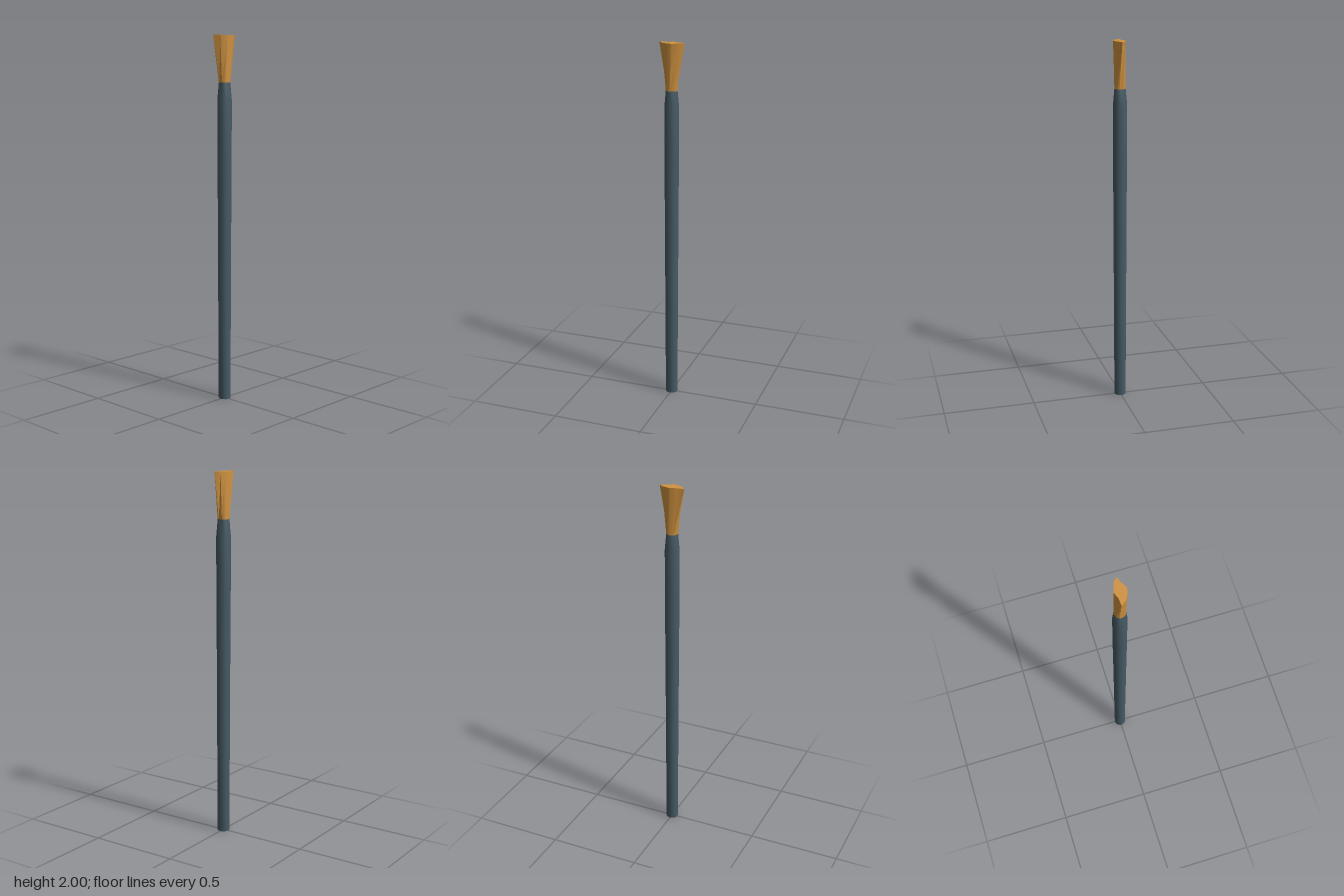
import * as THREE from 'three';
import { toCreasedNormals } from 'three/addons/utils/BufferGeometryUtils.js';

const SIDES = 10;
const HANDLE_TOP = 1.75;

function part(name, geometry, color) {
  const mesh = new THREE.Mesh(
    toCreasedNormals(geometry, 0.7),
    new THREE.MeshStandardMaterial({ color })
  );
  mesh.name = name;
  return mesh;
}

// Long ten-sided handle, slightly thicker towards the top, with a tapered collar
function handleGeometry() {
  const profile = [
    [0, 0], [0.033, 0], [0.035, 0.5], [0.037, 1.05],
    [0.039, 1.4], [0.039, 1.66], [0.031, HANDLE_TOP], [0, HANDLE_TOP],
  ].map(([r, y]) => new THREE.Vector2(r, y));
  return new THREE.LatheGeometry(profile, SIDES, Math.PI / 2);
}

// Bristles: round at the collar, flaring into a flat, uneven tip
function bristleGeometry() {
  const tip = [
    [0.037, -0.009], [0.034, 0.014], [0.016, 0.05], [-0.014, 0.073], [-0.016, 0.034],
    [-0.03, -0.003], [-0.022, -0.022], [-0.016, -0.05], [0.007, -0.073], [0.016, -0.048],
  ];
  const height = 2 - HANDLE_TOP;
  const geometry = new THREE.CylinderGeometry(
    0.031, 0.031, height, SIDES, 1, false, Math.PI / 2
  );
  geometry.translate(0, HANDLE_TOP + height / 2, 0);
  const pos = geometry.attributes.position;
  for (let i = 0; i < pos.count; i++) {
    const x = pos.getX(i), z = pos.getZ(i);
    if (pos.getY(i) < 1.9 || Math.hypot(x, z) < 0.01) continue;
    const step = Math.round(Math.atan2(z, x) / (2 * Math.PI) * SIDES);
    const [tx, tz] = tip[(step + SIDES) % SIDES];
    pos.setX(i, tx);
    pos.setZ(i, tz);
  }
  return geometry;
}

export function createModel() {
  const group = new THREE.Group();
  group.name = 'paintbrush';
  group.add(
    part('handle', handleGeometry(), 0x455a64),
    part('bristles', bristleGeometry(), 0xd0923f)
  );
  return group;
}
